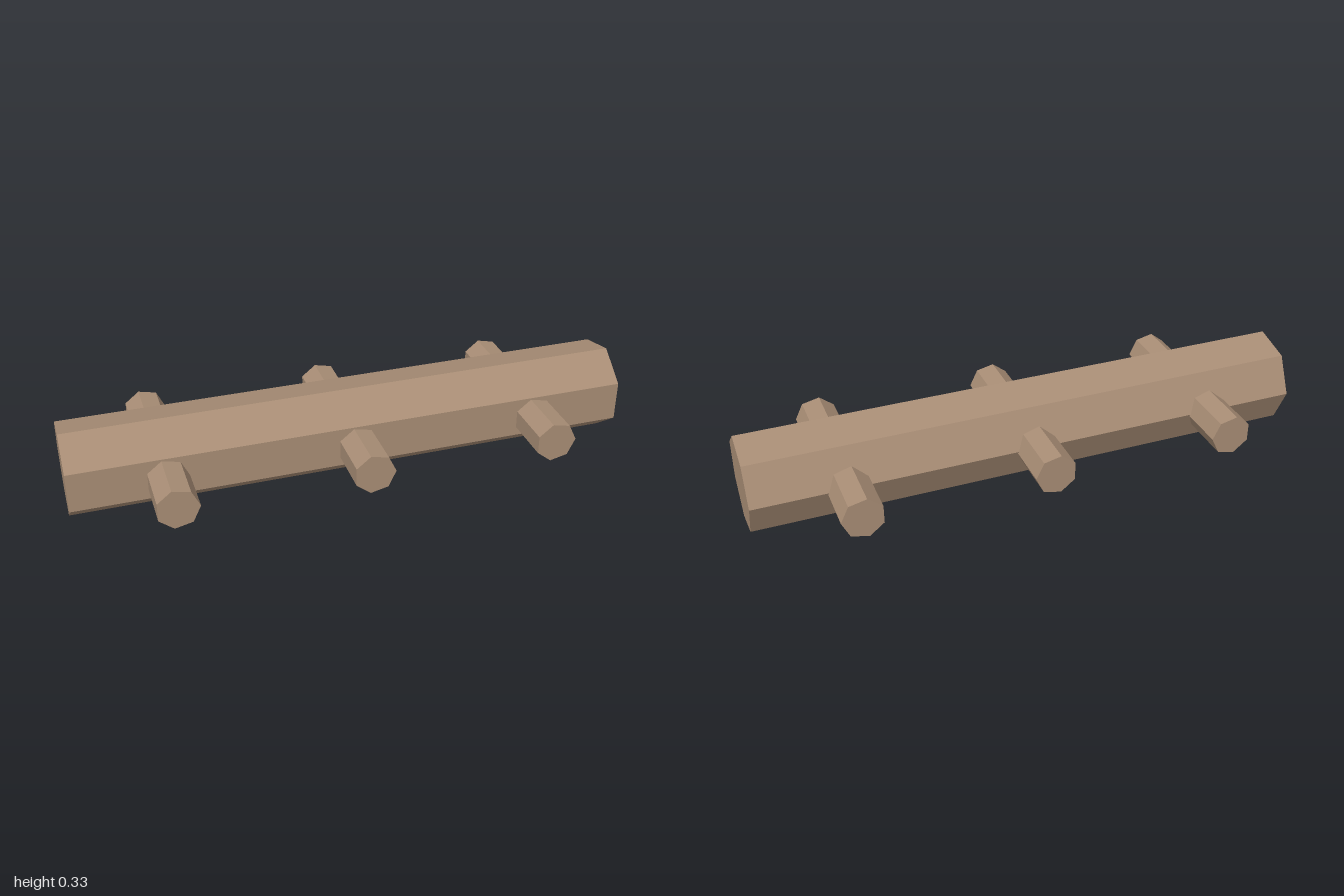
import * as THREE from 'three';

export function createModel() {
  const model = new THREE.Group();
  const wood = new THREE.MeshStandardMaterial({ color: 0xa88d75 });
  wood.name = 'wood';

  // Seven-sided prism with hard facets; start sets where the first corner points
  const prism = (radius, length, start) =>
    new THREE.CylinderGeometry(radius, radius, length, 7, 1, false, start).toNonIndexed();

  const add = (name, geometry, x, y) => {
    geometry.computeVertexNormals();
    const mesh = new THREE.Mesh(geometry, wood);
    mesh.name = name;
    mesh.position.set(x, y, 0);
    model.add(mesh);
  };

  // Main log along x, one corner pointing to the back
  add('log', prism(0.1667, 2, Math.PI).rotateZ(Math.PI / 2), 0, 0.1625);

  // Rungs through the log along z, one corner pointing to +x
  [-0.668, 0, 0.667].forEach((x, i) =>
    add(`rung${i + 1}`, prism(0.0745, 0.667, Math.PI / 2).rotateX(Math.PI / 2), x, 0.156));

  return model;
}
